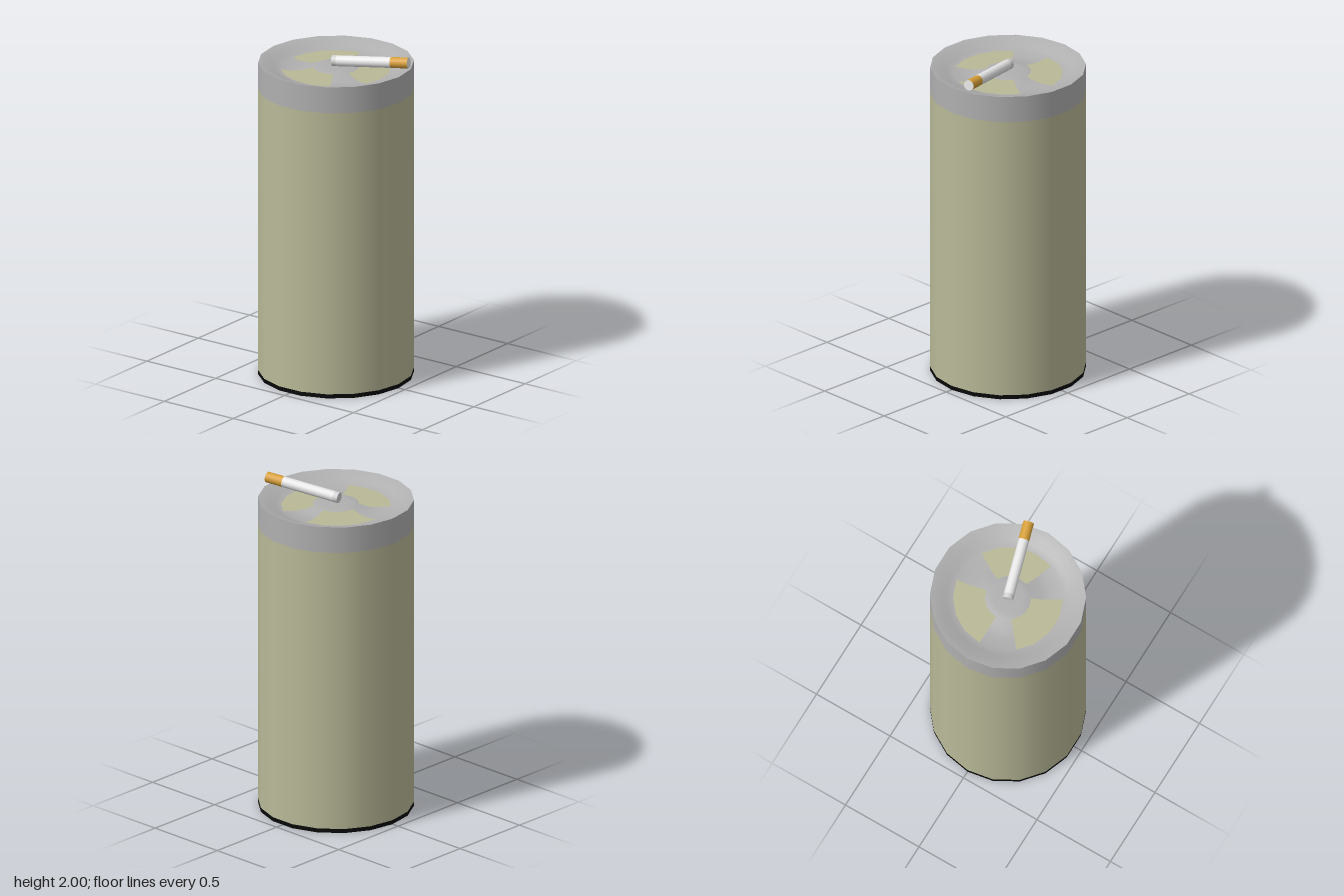
import * as THREE from 'three';

const SIDES = 18;
const RADIUS = 0.455;

function paint(name, color) {
  const m = new THREE.MeshStandardMaterial({ color });
  m.name = name;
  return m;
}

export function createModel() {
  const olive = paint('olive', 0xb9b998);
  const grey = paint('metal grey', 0xb0b0b0);
  const black = paint('black', 0x080808);
  const white = paint('paper white', 0xf0f0f0);
  const ash = paint('ash grey', 0xd2d2d2);
  const tan = paint('filter tan', 0xd8a038);

  const model = new THREE.Group();
  model.name = 'ashBin';

  function add(parent, name, geometry, material) {
    const mesh = new THREE.Mesh(geometry, material);
    mesh.name = name;
    parent.add(mesh);
    return mesh;
  }

  // Open smooth wall between two heights
  function wall(name, y0, y1, material) {
    const g = new THREE.CylinderGeometry(RADIUS, RADIUS, y1 - y0, SIDES, 1, true, Math.PI / 2);
    add(model, name, g, material).position.y = (y0 + y1) / 2;
  }
  wall('baseRing', 0, 0.025, black);
  wall('body', 0.025, 1.76, olive);
  wall('lidBand', 1.76, 1.92, grey);

  // Flat discs: underside, and the inner floor seen through the lid openings
  const underside = add(model, 'underside', new THREE.CircleGeometry(RADIUS, SIDES), olive);
  underside.rotation.x = Math.PI / 2;
  const floor = add(model, 'innerFloor', new THREE.CircleGeometry(0.4, SIDES), olive);
  floor.rotation.x = -Math.PI / 2;
  floor.position.y = 1.862;

  // Dished lid with a low centre hump and three curved openings
  const profile = [
    [RADIUS, 1.92], [0.41, 1.91], [0.36, 1.888], [0.32, 1.877], [0.25, 1.87],
    [0.19, 1.873], [0.135, 1.889], [0.09, 1.894], [0, 1.894],
  ].map(([r, y]) => new THREE.Vector2(r, y));
  const dish = new THREE.LatheGeometry(profile, SIDES, Math.PI / 2);
  const source = dish.getIndex().array;
  const kept = [];
  const rows = profile.length - 1;
  for (let i = 0; i < SIDES; i++) {
    const inSector = (i + 1) % 6 < 4; // four open segments, two closed
    for (let j = 0; j < rows; j++) {
      const inRing = profile[j].x <= 0.32 && profile[j + 1].x >= 0.135;
      if (inSector && inRing) continue;
      const start = (i * rows + j) * 6;
      for (let k = 0; k < 6; k++) kept.push(source[start + k]);
    }
  }
  dish.setIndex(kept);
  grey.side = THREE.DoubleSide;
  add(model, 'lidDish', dish, grey);

  // Cigarette lying from the centre hump over the rim
  const tip = new THREE.Vector3(-0.017, 1.925, 0.009);
  const end = new THREE.Vector3(0.436, 1.968, -0.124);
  const axis = end.clone().sub(tip);
  const length = axis.length();
  const cigarette = new THREE.Group();
  cigarette.name = 'cigarette';
  cigarette.position.copy(tip);
  cigarette.quaternion.setFromUnitVectors(new THREE.Vector3(0, 1, 0), axis.normalize());
  model.add(cigarette);

  function roll(name, from, to, material) {
    const g = new THREE.CylinderGeometry(0.032, 0.032, (to - from) * length, 16);
    add(cigarette, name, g, material).position.y = ((from + to) / 2) * length;
  }
  roll('ashTip', 0, 0.06, ash);
  roll('paper', 0.06, 0.77, white);
  roll('filter', 0.77, 1, [tan, white, tan]);

  return model;
}
